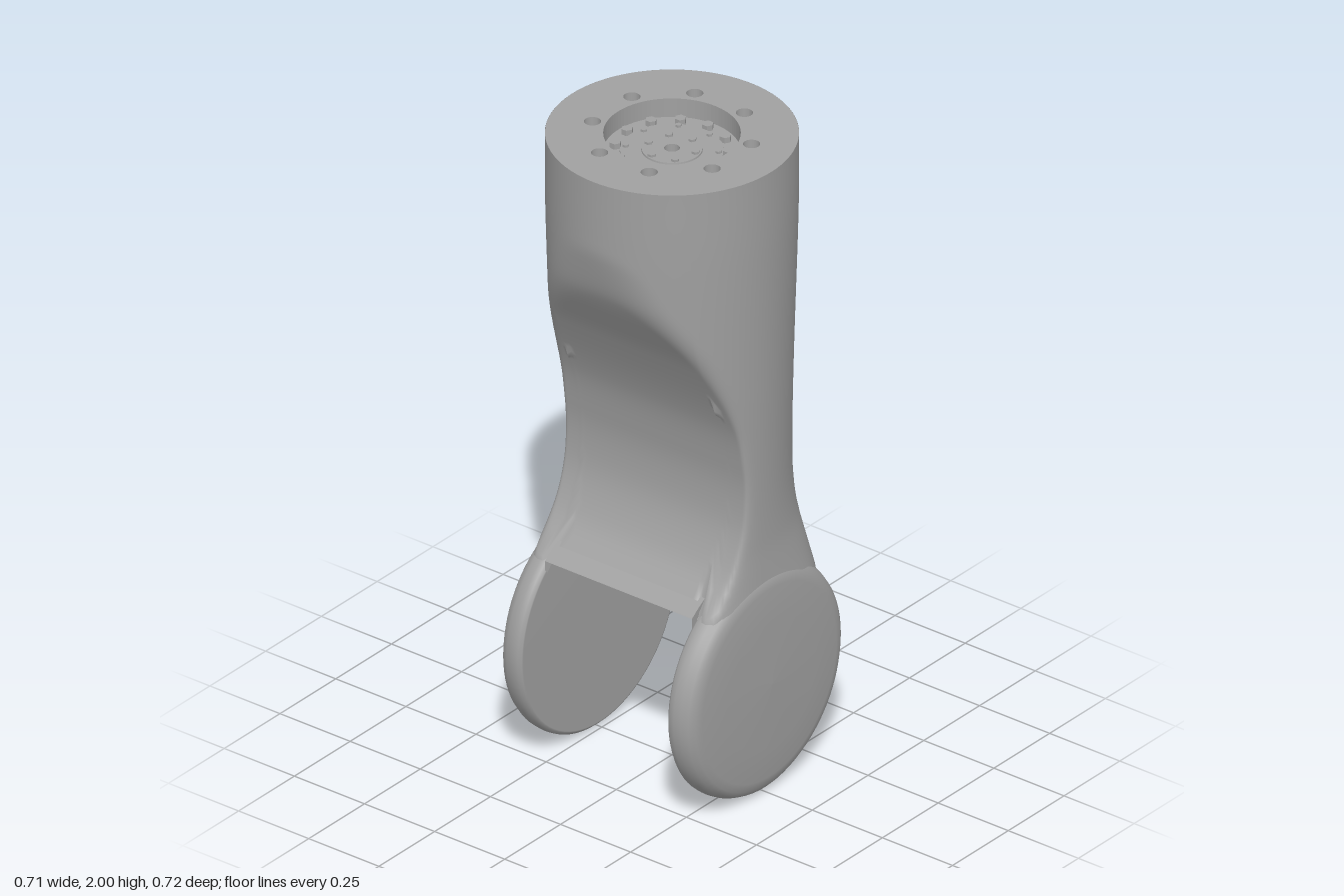
import * as THREE from 'three';

const AXIS_Y = 0.355; // height of the fork joint axis
const INNER_Z = 0.262; // inner face of the fork

// Smooth interpolation through [y, value] pairs sorted by rising y
function curve(pts) {
  const slope = (i) => {
    const a = pts[Math.max(i - 1, 0)], b = pts[Math.min(i + 1, pts.length - 1)];
    return (b[1] - a[1]) / (b[0] - a[0]);
  };
  return (y) => {
    if (y <= pts[0][0]) return pts[0][1];
    if (y >= pts[pts.length - 1][0]) return pts[pts.length - 1][1];
    let i = 0;
    while (y > pts[i + 1][0]) i++;
    const h = pts[i + 1][0] - pts[i][0], t = (y - pts[i][0]) / h;
    const t2 = t * t, t3 = t2 * t;
    return (2 * t3 - 3 * t2 + 1) * pts[i][1] + (t3 - 2 * t2 + t) * h * slope(i)
      + (3 * t2 - 2 * t3) * pts[i + 1][1] + (t3 - t2) * h * slope(i + 1);
  };
}

// Tube half-widths, squareness and depth of the scooped side, by height
const halfX = curve([[0.5, 0.33], [0.8, 0.333], [1.2, 0.341], [1.75, 0.354], [2, 0.355]]);
const halfZ = curve([[0.5, 0.352], [0.6, 0.352], [0.7, 0.343], [0.8, 0.336], [1, 0.335], [1.3, 0.342], [1.75, 0.354], [2, 0.355]]);
const power = curve([[0.5, 4], [0.57, 3.9], [0.65, 3.2], [0.8, 2.3], [1, 2], [2, 2]]);
const scoop = curve([[0.6, -0.24], [0.65, -0.215], [0.69, -0.172], [0.75, -0.128], [0.85, -0.087], [0.95, -0.073],
  [1.05, -0.077], [1.2, -0.107], [1.4, -0.195], [1.6, -0.308], [1.75, -0.37], [1.85, -0.45], [2, -0.5]]);

// Point on the cross-section: rounded square, softly clipped by the scoop
function section(y, a) {
  const c = Math.cos(a), s = Math.sin(a), n = power(y);
  const r = 1 / Math.pow(Math.abs(c) ** n + Math.abs(s) ** n, 1 / n);
  const x = r * c * halfX(y), m = scoop(y), k = 0.04;
  const h = Math.max(k - Math.abs(x - m), 0) / k;
  return [Math.max(x, m) + h * h * k / 4, r * s * halfZ(y)];
}

const saddle = (x, r) => AXIS_Y + Math.sqrt(Math.max(r * r - x * x, 0));

function surface(pos, cols, rows, wrap) {
  const index = [];
  for (let i = 0; i < rows - 1; i++) {
    for (let j = 0; j < (wrap ? cols : cols - 1); j++) {
      const a = i * cols + j, b = i * cols + (j + 1) % cols;
      index.push(a, b, a + cols, b, b + cols, a + cols);
    }
  }
  const g = new THREE.BufferGeometry();
  g.setAttribute('position', new THREE.Float32BufferAttribute(pos, 3));
  g.setIndex(index);
  g.computeVertexNormals();
  return g;
}

export function createModel() {
  const group = new THREE.Group();
  const gray = new THREE.MeshStandardMaterial({ color: 0xa0a0a0, side: THREE.DoubleSide });
  gray.name = 'machined gray';
  const add = (name, geometry, parent = group) => {
    const mesh = new THREE.Mesh(geometry, gray);
    mesh.name = name;
    parent.add(mesh);
    return mesh;
  };

  // Scooped tube, ending in a cylindrical cut above the joint
  const N = 128, ROWS = 72, pos = [];
  for (let i = 0; i < ROWS; i++) {
    const t = i / (ROWS - 1);
    for (let j = 0; j < N; j++) {
      const a = j / N * Math.PI * 2;
      let y = 2 - 1.37 * t, p;
      for (let k = 0; k < 14; k++) {
        p = section(y, a);
        const end = saddle(p[0], Math.abs(p[1]) > INNER_Z ? 0.33 : 0.37);
        y = 2 + (end - 2) * t;
      }
      pos.push(p[0], y, p[1]);
    }
  }
  add('linkBody', surface(pos, N, ROWS, true));

  // Concave underside between the fork plates
  const under = [], last = (ROWS - 1) * N * 3;
  for (let j = 0; j <= N / 2; j++) {
    const [x, y, z] = pos.slice(last + j * 3, last + j * 3 + 3);
    const zi = Math.min(z, INNER_Z), yi = saddle(x, 0.37);
    under.push(x, y, z, x, y, zi, x, yi, zi, x, yi, -zi, x, y, -zi, x, y, -z);
  }
  const underside = surface(under, 6, N / 2 + 1, false).toNonIndexed();
  underside.computeVertexNormals();
  add('saddleUnderside', underside);

  // Two round fork plates with softly rounded outer rims
  const plate = [[0, 0.26], [0.34, 0.26], [0.345, 0.261], [0.353, 0.27], [0.355, 0.287], [0.352, 0.31],
    [0.342, 0.33], [0.325, 0.342], [0.3, 0.348], [0.2, 0.355], [0, 0.359]].map((p) => new THREE.Vector2(...p));
  for (const side of [1, -1]) {
    const mesh = add(side > 0 ? 'frontForkPlate' : 'backForkPlate', new THREE.LatheGeometry(plate, 80));
    mesh.rotation.x = side * Math.PI / 2;
    mesh.position.y = AXIS_Y;
  }

  // Mounting ring on top, with a central opening and counterbored holes
  const ring = new THREE.Shape().absarc(0, 0, 0.3545, 0, Math.PI * 2);
  const hole = (x, y, r) => ring.holes.push(new THREE.Path().absarc(x, y, r, 0, Math.PI * 2, true));
  hole(0, 0, 0.192);
  const around = (count, radius, start, fn) => {
    for (let i = 0; i < count; i++) {
      const a = start + i / count * Math.PI * 2;
      fn(Math.cos(a) * radius, Math.sin(a) * radius);
    }
  };
  around(8, 0.231, Math.PI / 8, (x, y) => hole(x, y, 0.024));
  const ringGeo = new THREE.ExtrudeGeometry(ring, { depth: 0.06, bevelEnabled: false, curveSegments: 48 });
  ringGeo.rotateX(-Math.PI / 2).translate(0, 1.94, 0);
  add('mountingRing', ringGeo);

  // Sunken flange with a stepped hub and a centre bore
  const flange = [[0, 1.8], [0.022, 1.8], [0.022, 1.951], [0.085, 1.951], [0.086, 1.946], [0.145, 1.946],
    [0.146, 1.941], [0.34, 1.941]].map((p) => new THREE.Vector2(...p));
  const flangeGeo = new THREE.LatheGeometry(flange, 64).toNonIndexed();
  flangeGeo.computeVertexNormals();
  add('sunkenFlange', flangeGeo);

  // Bolt circles
  const bolts = new THREE.Group();
  bolts.name = 'bolts';
  group.add(bolts);
  const boltCircle = (name, count, radius, start, r, top, sides) => {
    const geo = new THREE.CylinderGeometry(r, r, 0.03, sides).toNonIndexed();
    geo.computeVertexNormals();
    around(count, radius, start, (x, z) => add(name, geo, bolts).position.set(x, top - 0.015, z));
  };
  boltCircle('ringBolt', 8, 0.231, Math.PI / 8, 0.014, 1.975, 6);
  boltCircle('flangeBolt', 12, 0.16, 0, 0.017, 1.958, 6);
  boltCircle('flangePin', 8, 0.131, 0.25, 0.009, 1.953, 6);
  boltCircle('hubBolt', 6, 0.071, 0.25, 0.012, 1.958, 6);
  return group;
}
